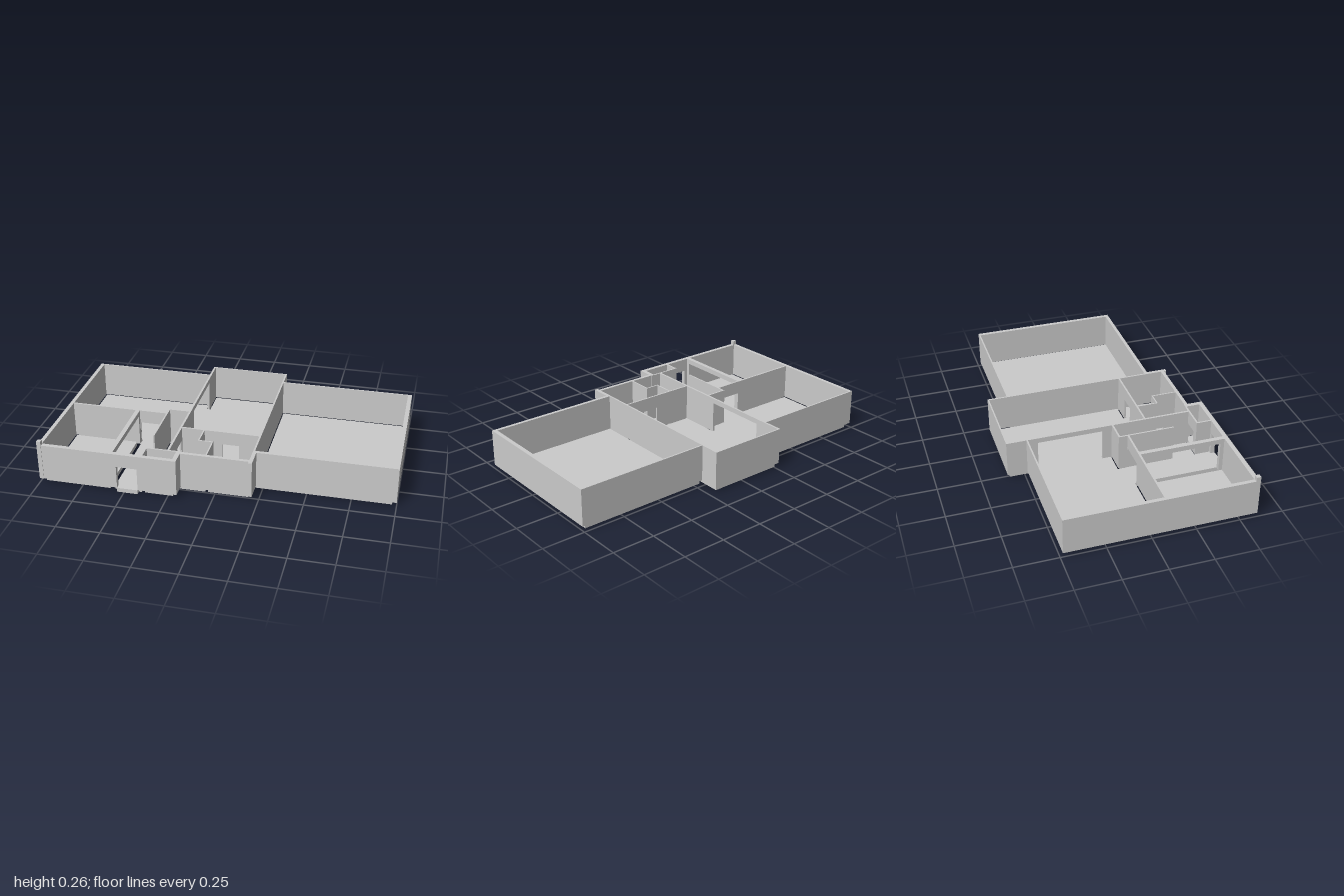
import * as THREE from 'three';

const FLOOR = 0.025, TOP = 0.24, DOOR = 0.16, BEAM = 0.21;

export function createModel() {
  const model = new THREE.Group();
  model.name = 'floorPlan';
  const material = new THREE.MeshStandardMaterial({ color: 0xcccccc, flatShading: true });

  // Axis-aligned block given by its limits
  function block(name, x0, x1, y0, y1, z0, z1) {
    const mesh = new THREE.Mesh(new THREE.BoxGeometry(x1 - x0, y1 - y0, z1 - z0), material);
    mesh.position.set((x0 + x1) / 2, (y0 + y1) / 2, (z0 + z1) / 2);
    mesh.name = name;
    model.add(mesh);
  }

  // Wall along x or z, extruded across its thickness; openings are [from, to, height]
  function wall(name, axis, from, to, near, far, openings = []) {
    const outline = new THREE.Shape();
    outline.moveTo(from, FLOOR);
    for (const [a, b, h] of openings) {
      outline.lineTo(a, FLOOR);
      outline.lineTo(a, h);
      outline.lineTo(b, h);
      outline.lineTo(b, FLOOR);
    }
    outline.lineTo(to, FLOOR);
    outline.lineTo(to, TOP);
    outline.lineTo(from, TOP);
    const geometry = new THREE.ExtrudeGeometry(outline, { depth: far - near, bevelEnabled: false });
    if (axis === 'x') geometry.translate(0, 0, near);
    else {
      // local x runs along +z, extrusion runs towards -x
      geometry.rotateY(-Math.PI / 2);
      geometry.translate(far, 0, 0);
    }
    const mesh = new THREE.Mesh(geometry, material);
    mesh.name = name;
    model.add(mesh);
  }

  // Outer walls, left wing of the plan
  wall('westWall', 'z', -0.485, 0.595, -1, -0.978);
  wall('westBackWall', 'x', -0.978, -0.262, -0.485, -0.476);
  wall('entranceWall', 'x', -0.978, -0.195, 0.572, 0.597, [[-0.54, -0.42, DOOR]]);
  wall('closetEndWall', 'z', 0.485, 0.572, -0.22, -0.195);
  block('cornerPost', -1, -0.975, FLOOR, 0.265, 0.575, 0.6);

  // Outer walls, central part
  wall('centralBackWall', 'x', -0.274, 0.203, -0.6, -0.592);
  wall('centralFrontWall', 'x', -0.195, 0.195, 0.488, 0.508);
  wall('frontReturnWall', 'z', 0.404, 0.523, 0.193, 0.214);

  // Outer walls, right wing
  wall('eastBackWall', 'x', 0.203, 0.978, -0.485, -0.476);
  wall('eastWall', 'z', -0.485, 0.404, 0.976, 1);
  wall('eastFrontWall', 'x', 0.203, 0.976, 0.384, 0.404);

  // Inner partitions
  wall('eastPartition', 'z', -0.592, 0.404, 0.193, 0.203);
  wall('centralPartition', 'z', -0.592, 0.488, -0.274, -0.262,
    [[-0.42, -0.04, BEAM], [0.24, 0.33, DOOR]]);
  wall('centralCrossWall', 'x', -0.262, 0.193, 0.212, 0.222, [[-0.025, 0.075, DOOR]]);
  wall('westCrossWall', 'x', -0.978, -0.39, 0.066, 0.077, [[-0.56, -0.4, DOOR]]);
  wall('hallPartition', 'z', 0.077, 0.572, -0.588, -0.562, [[0.1, 0.55, BEAM]]);
  wall('corridorWall', 'z', 0.015, 0.345, -0.399, -0.39);
  wall('corridorEndWall', 'x', -0.39, -0.274, 0.015, 0.025);
  wall('closetFrontWall', 'x', -0.4, -0.22, 0.483, 0.493, [[-0.36, -0.27, DOOR]]);
  wall('closetSideWall', 'z', 0.493, 0.572, -0.4, -0.39);
  wall('washroomWallBack', 'z', 0.222, 0.345, -0.135, -0.127);
  wall('washroomWallStep', 'x', -0.127, -0.047, 0.337, 0.345);
  wall('washroomWallFront', 'z', 0.345, 0.488, -0.055, -0.047);

  // Floor slabs [x0, x1, z0, z1], separated under the walls
  const slabs = {
    westRoomFloor: [-0.97, -0.405, -0.47, 0.06],
    westRoomFloorSide: [-0.405, -0.28, -0.47, 0.01],
    centralThreshold: [-0.28, -0.258, -0.42, -0.04],
    centralFloor: [-0.258, 0.188, -0.585, 0.207],
    eastFloor: [0.208, 0.975, -0.47, 0.386],
    frontRoomFloor: [-0.97, -0.588, 0.083, 0.573],
    hallFloor: [-0.558, -0.403, 0.06, 0.573],
    hallLinkFloor: [-0.403, -0.385, 0.345, 0.48],
    corridorFloor: [-0.385, -0.278, 0.03, 0.48],
    entranceThreshold: [-0.54, -0.42, 0.573, 0.6],
    closetFloor: [-0.385, -0.222, 0.497, 0.573],
    washroomThreshold: [-0.278, -0.258, 0.24, 0.33],
    washroomFloorBack: [-0.258, -0.14, 0.227, 0.348],
    washroomFloorFront: [-0.258, -0.058, 0.348, 0.49],
    bathroomFloorBack: [-0.122, 0.188, 0.227, 0.333],
    bathroomFloorFront: [-0.043, 0.188, 0.333, 0.49],
    bathroomThreshold: [-0.025, 0.075, 0.207, 0.227],
  };
  for (const [name, [x0, x1, z0, z1]] of Object.entries(slabs)) block(name, x0, x1, 0, FLOOR, z0, z1);

  return model;
}
